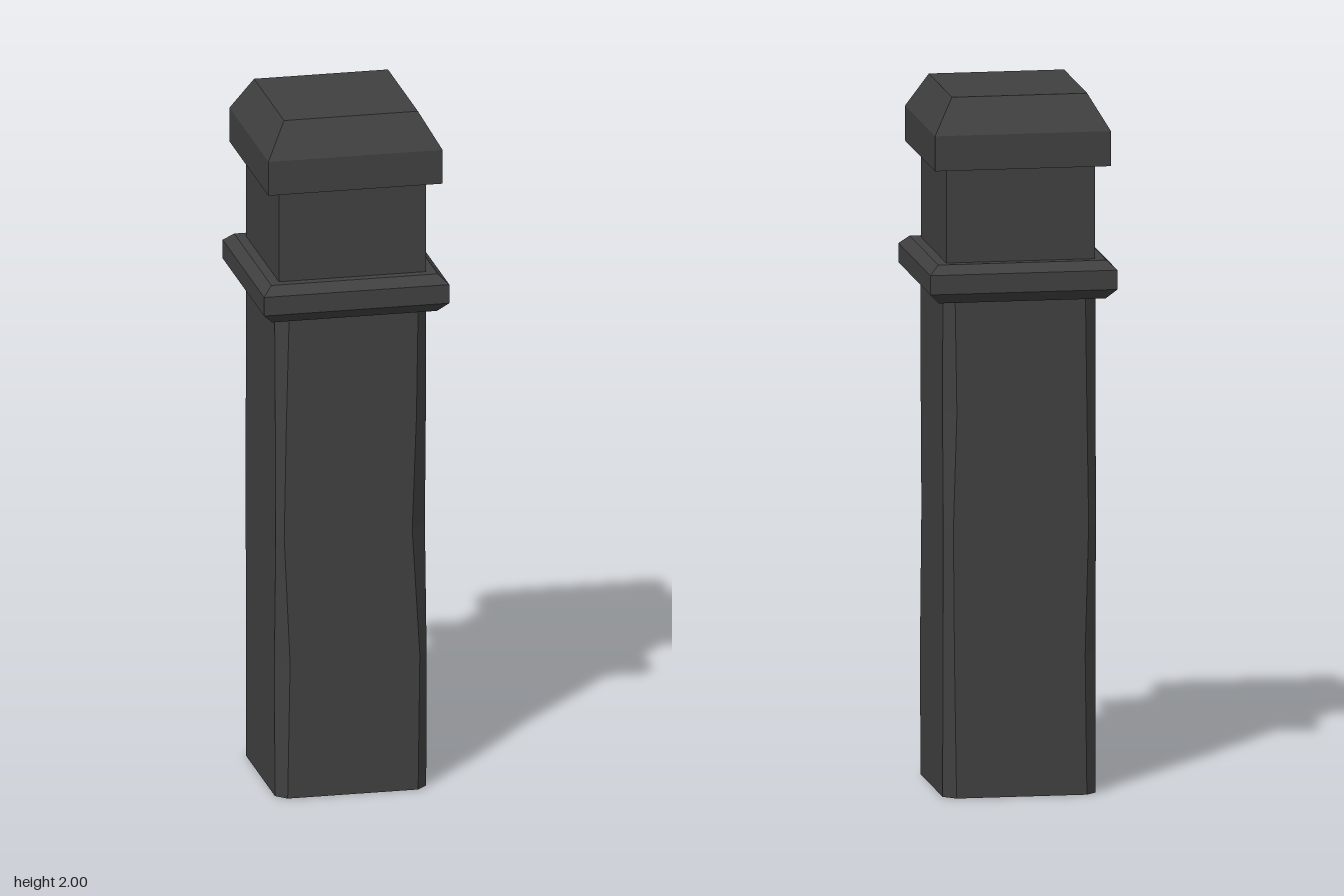
import * as THREE from 'three';

const material = new THREE.MeshStandardMaterial({
  color: 0x404040, flatShading: true, side: THREE.DoubleSide,
});

// Square section swept up a profile of [half width, height] pairs
function squareLathe(name, profile) {
  const points = profile.map(([w, y]) => new THREE.Vector2(w * Math.SQRT2, y));
  const geometry = new THREE.LatheGeometry(points, 4, Math.PI / 4).toNonIndexed();
  geometry.computeVertexNormals();
  const mesh = new THREE.Mesh(geometry, material);
  mesh.name = name;
  return mesh;
}

// Open-ended square shaft whose worn corner chamfers vary with height
function wornShaft(half) {
  const heights = [0, 0.4, 0.77, 1.1, 1.42];
  // Corners in turn around the post: [x sign, z sign, chamfer at each height]
  const corners = [
    [1, 1, [0.03, 0.025, 0.047, 0.035, 0.03]],
    [1, -1, [0.034, 0.028, 0.025, 0.035, 0.03]],
    [-1, -1, [0.03, 0.035, 0.025, 0.03, 0.034]],
    [-1, 1, [0.03, 0.037, 0.02, 0.026, 0.034]],
  ];
  const positions = [];
  const indices = [];
  heights.forEach((y, level) => {
    for (const [sx, sz, chamfers] of corners) {
      const inner = half - chamfers[level];
      const onZ = [sx * inner, y, sz * half];
      const onX = [sx * half, y, sz * inner];
      positions.push(...(sx === sz ? [...onZ, ...onX] : [...onX, ...onZ]));
    }
  });
  for (let level = 0; level < heights.length - 1; level++) {
    for (let i = 0; i < 8; i++) {
      const a = level * 8 + i;
      const b = level * 8 + ((i + 1) % 8);
      indices.push(a, b, b + 8, a, b + 8, a + 8);
    }
  }
  const indexed = new THREE.BufferGeometry();
  indexed.setAttribute('position', new THREE.Float32BufferAttribute(positions, 3));
  indexed.setIndex(indices);
  const geometry = indexed.toNonIndexed();
  geometry.computeVertexNormals();
  const mesh = new THREE.Mesh(geometry, material);
  mesh.name = 'shaft';
  return mesh;
}

export function createModel() {
  const post = new THREE.Group();
  post.name = 'post';
  post.add(
    wornShaft(0.218),
    // Bevelled band around the top of the shaft
    squareLathe('collar', [
      [0.212, 1.42], [0.238, 1.42], [0.267, 1.45], [0.267, 1.505], [0.24, 1.53], [0.212, 1.53],
    ]),
    squareLathe('neck', [[0.212, 1.53], [0.212, 1.8]]),
    // Overhanging cap with sloped shoulders and a flat top
    squareLathe('cap', [[0.212, 1.8], [0.251, 1.8], [0.251, 1.9], [0.193, 2], [0, 2]]),
  );
  return post;
}
